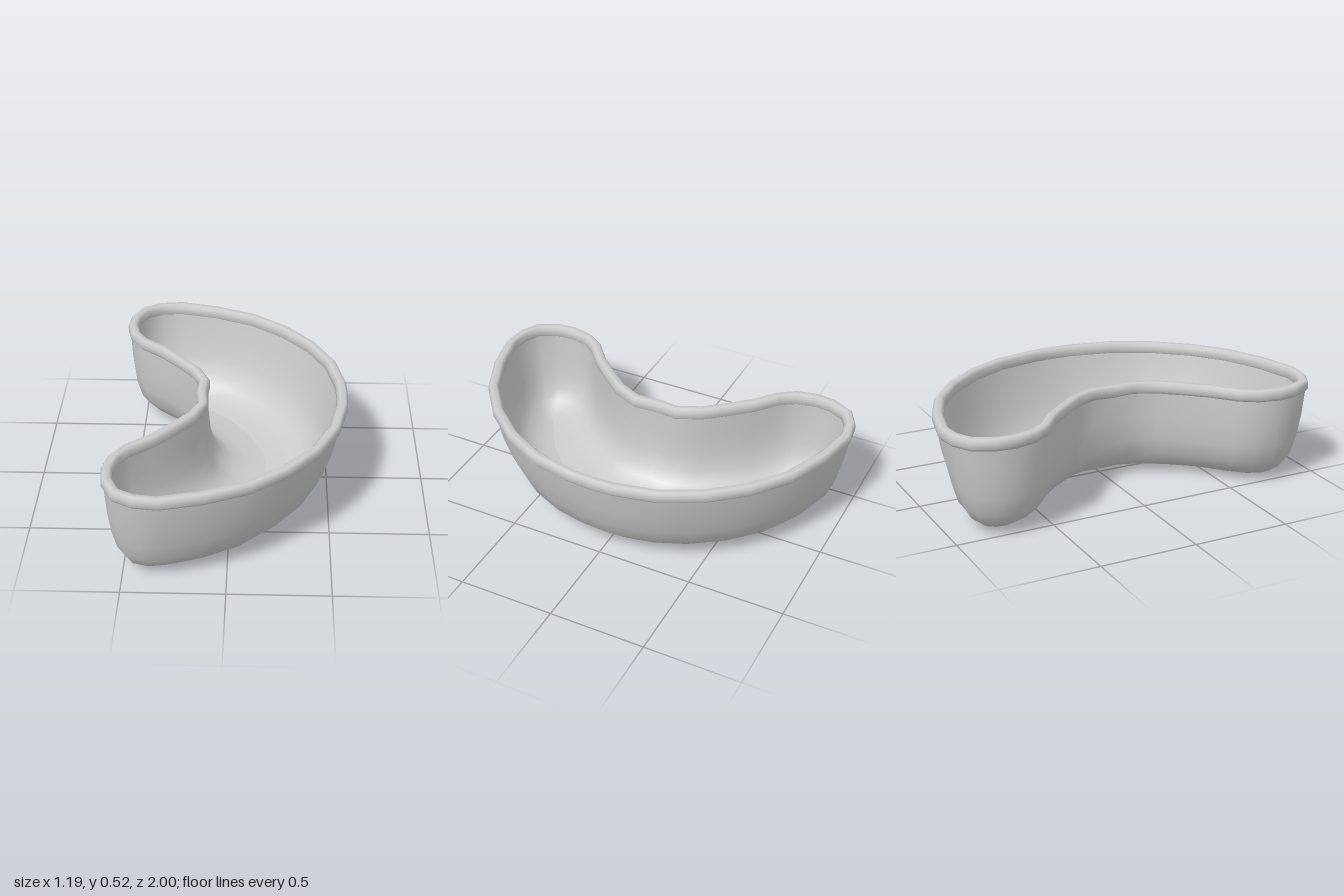
import * as THREE from 'three';

// Half of the kidney outline, concave middle -> tip -> convex middle: [rim x, rim z, spine x, spine z]
const half = [
  [-0.18, 0, 0.18, 0], [-0.17, 0.11, 0.175, 0.1], [-0.22, 0.22, 0.15, 0.22],
  [-0.31, 0.33, 0.08, 0.37], [-0.4, 0.43, -0.02, 0.51], [-0.51, 0.52, -0.14, 0.62],
  [-0.57, 0.61, -0.25, 0.69], [-0.595, 0.72, -0.31, 0.73], [-0.585, 0.82, -0.33, 0.74],
  [-0.53, 0.93, -0.33, 0.74], [-0.43, 0.985, -0.31, 0.73], [-0.31, 1, -0.25, 0.69],
  [-0.1, 0.95, -0.14, 0.62], [0.11, 0.86, -0.02, 0.51], [0.29, 0.72, 0.08, 0.37],
  [0.44, 0.54, 0.15, 0.22], [0.54, 0.34, 0.175, 0.1], [0.587, 0.12, 0.177, 0.05],
  [0.592, 0, 0.18, 0],
];

// Full loop; w is 0 on the steep concave wall and 1 on the sloping convex wall
const loop = half.map(([x, z, sx, sz], i) => ({ x, z, sx, sz, w: THREE.MathUtils.smoothstep(i, 5, 11) }));
for (let i = half.length - 2; i > 0; i--) {
  const p = loop[i];
  loop.push({ ...p, z: -p.z, sz: -p.sz });
}
const n = loop.length;

// One ring: outline inset by d, then drawn towards the spine by fIn (concave) to fOut (convex)
function ring([d, y, fIn = 0, fOut = 0]) {
  return loop.map((p, i) => {
    const a = loop[(i + n - 1) % n], b = loop[(i + 1) % n];
    const len = Math.hypot(b.x - a.x, b.z - a.z);
    const f = THREE.MathUtils.lerp(fIn, fOut, p.w);
    const x = p.x + (d * (b.z - a.z)) / len;
    const z = p.z - (d * (b.x - a.x)) / len;
    return [x + (p.sx - x) * f, y, z + (p.sz - z) * f];
  });
}

// Skin a list of rings with smooth normals
function loft(name, levels, material, closed = false) {
  const index = [];
  const rows = closed ? levels.length : levels.length - 1;
  for (let j = 0; j < rows; j++) {
    const k = (j + 1) % levels.length;
    for (let i = 0; i < n; i++) {
      const m = (i + 1) % n;
      const a = j * n + i, b = j * n + m, c = k * n + i, e = k * n + m;
      index.push(a, c, b, b, c, e);
    }
  }
  const geometry = new THREE.BufferGeometry();
  geometry.setAttribute('position', new THREE.Float32BufferAttribute(levels.map(ring).flat(2), 3));
  geometry.setIndex(index);
  geometry.computeVertexNormals();
  const mesh = new THREE.Mesh(geometry, material);
  mesh.name = name;
  return mesh;
}

export function createModel() {
  const group = new THREE.Group();
  group.name = 'kidneyDish';
  const material = new THREE.MeshStandardMaterial({ color: 0xcccccc });

  // Wall levels from the rim down to the floor: [inset, y, fIn, fOut]
  const wall = [
    [0.012, 0.48, 0, 0], [0.012, 0.33, 0, 0.08], [0.012, 0.21, 0.03, 0.18],
    [0.012, 0.12, 0.11, 0.28], [0.012, 0.06, 0.25, 0.43], [0.012, 0.025, 0.43, 0.62],
    [0.012, 0.008, 0.67, 0.8], [0.012, 0, 1, 1],
  ];
  group.add(loft('outerShell', wall, material));

  // Cavity follows the same walls, one wall thickness further in
  const cavity = wall.map(([, y, a, b]) => [0.045, y + 0.03 * (1 - y / 0.5), a, b]).reverse();
  group.add(loft('innerShell', cavity, material));

  // Rolled rim: closed rounded section swept around the outline
  const rim = [
    [0, 0.51], [0, 0.48], [0.012, 0.465], [0.04, 0.46],
    [0.055, 0.475], [0.055, 0.51], [0.04, 0.525], [0.012, 0.525],
  ];
  group.add(loft('rim', rim, material, true));
  return group;
}
